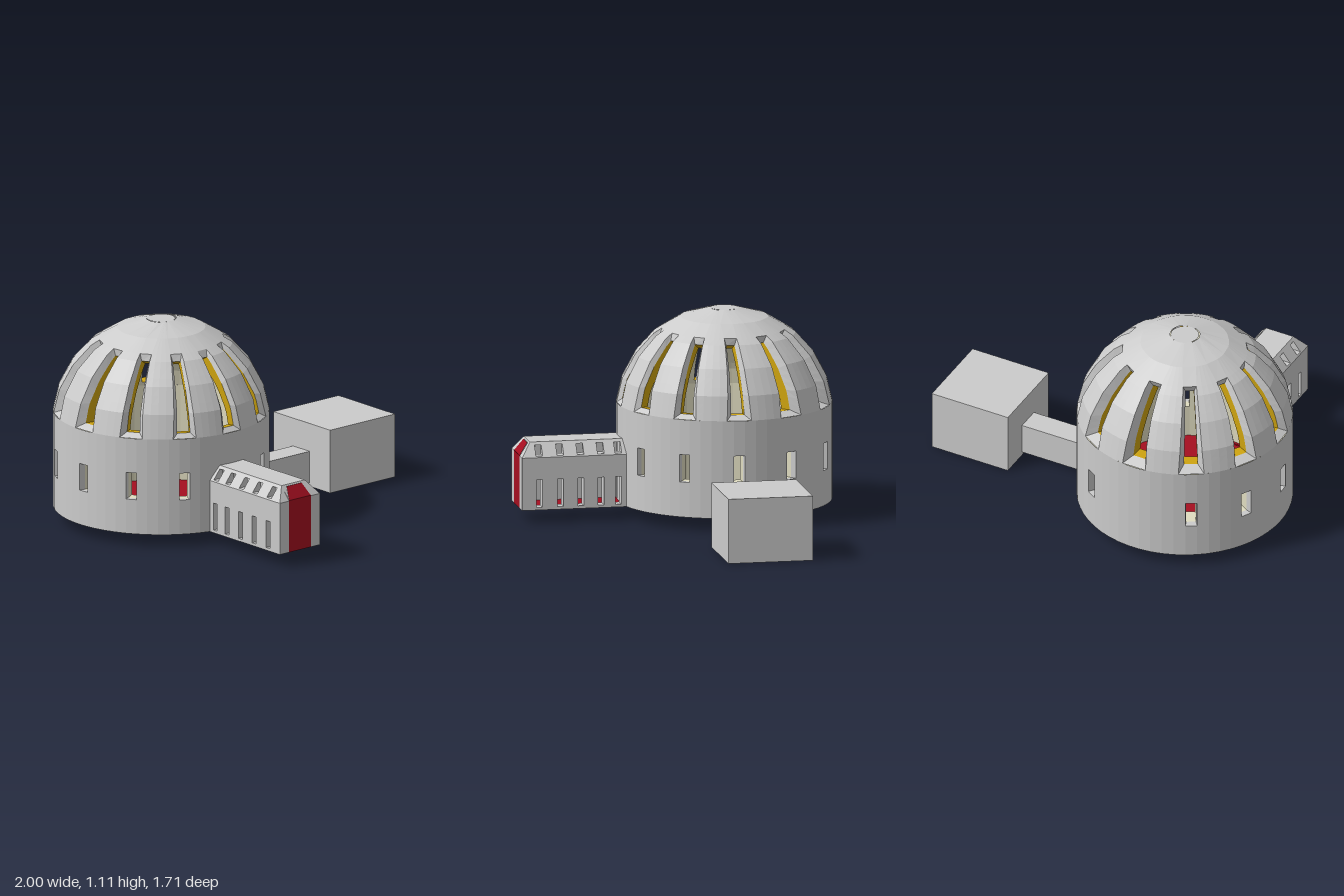
import * as THREE from 'three';

const CX = -0.425, CZ = -0.24, STEP = Math.PI / 6;
const lerp = THREE.MathUtils.lerp;
const mat = (color) => new THREE.MeshStandardMaterial({ color, flatShading: true, side: THREE.DoubleSide });

// Collects quads given by point grids into one mesh
class Patches {
  constructor() { this.p = []; }
  quad(a, b, c, d) { for (const v of [a, b, c, a, c, d]) this.p.push(...v); }
  grid(f, ns, nt) {
    for (let i = 0; i < ns; i++) for (let j = 0; j < nt; j++) {
      const [s0, s1, t0, t1] = [i / ns, (i + 1) / ns, j / nt, (j + 1) / nt];
      this.quad(f(s0, t0), f(s1, t0), f(s1, t1), f(s0, t1));
    }
  }
  bridge(A, B) {
    A.forEach((a, i) => { const k = (i + 1) % A.length; this.quad(a, A[k], B[k], B[i]); });
  }
  mesh(name, material) {
    const g = new THREE.BufferGeometry();
    g.setAttribute('position', new THREE.Float32BufferAttribute(this.p, 3));
    g.computeVertexNormals();
    const m = new THREE.Mesh(g, material);
    m.name = name;
    return m;
  }
}

// Point of a shell layer: profile position v, angle from +z; "off" pushes the layer backwards
function point(L, v, ang) {
  const i = Math.min(Math.floor(v), L.prof.length - 2), f = v - i;
  const r = lerp(L.prof[i][0], L.prof[i + 1][0], f) - L.off * Math.cos(ang);
  return [CX + r * Math.sin(ang), lerp(L.prof[i][1], L.prof[i + 1][1], f), CZ + r * Math.cos(ang)];
}

// Half angle of a layer's opening at profile position v
function half(L, v) {
  const t = THREE.MathUtils.clamp((v - L.v0) / (L.v1 - L.v0), 0, 1);
  const i = Math.min(Math.floor(v), L.prof.length - 2);
  const r = lerp(L.prof[i][0], L.prof[i + 1][0], v - i);
  return Math.min(Math.asin(Math.min(1, lerp(L.w0, L.w1, t) / r)), 0.2);
}

// One 30 degree slice of a layer, with or without its opening
function slice(out, L, k, open, inward) {
  const a0 = k * STEP, end = L.prof.length - 1;
  const put = (va, vb, n, ua, ub, cols) => out.grid((s, t) => {
    const v = lerp(va, vb, t), q = inward ? 1 - s : s;
    return point(L, v, a0 + lerp(ua(v), ub(v), q));
  }, cols, n);
  const left = () => -STEP / 2, right = () => STEP / 2;
  const inL = (v) => -half(L, v), inR = (v) => half(L, v);
  const bands = [[0, L.v0, 1], [L.v0, L.v1, 10], [L.v1, Math.ceil(L.v1), 1]];
  for (let v = Math.ceil(L.v1); v < end; v++) bands.push([v, v + 1, 1]);
  bands.forEach(([va, vb, n], b) => {
    if (vb - va < 1e-6) return;
    put(va, vb, n, left, inL, 2);
    put(va, vb, n, inR, right, 2);
    if (b !== 1 || !open) put(va, vb, n, inL, inR, 1);
  });
}

// Edge of an opening, counter-clockwise seen from outside
function loop(L, k) {
  const pts = [], N = 10;
  for (const side of [1, -1]) for (let i = 0; i <= N; i++) {
    const v = lerp(L.v0, L.v1, side > 0 ? i / N : 1 - i / N);
    pts.push(point(L, v, k * STEP + side * half(L, v)));
  }
  return pts;
}

// Thick round shell with one opening per slice
function shell(name, outer, mid, inner, isOpen, M, jambMat) {
  const g = new THREE.Group();
  g.name = name;
  const skin = new Patches(), lining = new Patches(), jambs = new Patches();
  for (let k = 0; k < 12; k++) {
    const open = isOpen(k);
    slice(skin, outer, k, open, false);
    slice(lining, inner, k, open, true);
    if (!open) continue;
    skin.bridge(loop(outer, k), loop(mid, k));
    jambs.bridge(loop(mid, k), loop(inner, k));
  }
  g.add(skin.mesh(name + 'Skin', M.grey), lining.mesh(name + 'Lining', M.cream), jambs.mesh(name + 'Jambs', jambMat));
  return g;
}

export function createModel() {
  const root = new THREE.Group();
  root.name = 'domedBuilding';
  const M = { grey: mat(0xcccccc), red: mat(0xa50f20), gold: mat(0xd0a510), cream: mat(0xe0dcc0) };
  const add = (name, geo, material, parent = root) => {
    const m = new THREE.Mesh(geo, material);
    m.name = name;
    parent.add(m);
    return m;
  };
  const box = (name, x0, x1, y0, y1, z0, z1, material, parent) =>
    add(name, new THREE.BoxGeometry(x1 - x0, y1 - y0, z1 - z0), material, parent)
      .position.set((x0 + x1) / 2, (y0 + y1) / 2, (z0 + z1) / 2);
  const poly = (pts) => new THREE.Shape(pts.map(([x, y]) => new THREE.Vector2(x, y)));

  // Round wall with small windows, none at the front and back
  const wall = (r, off, w) => ({ prof: [[r, 0.07], [r, 0.6]], off, v0: 0.36, v1: 0.64, w0: w, w1: w });
  const wallOuter = wall(0.577, 0.033, 0.03), wallInner = wall(0.475, 0, 0.025);
  root.add(shell('wall', wallOuter, wall(0.545, 0.025, 0.025), wallInner, (k) => k % 6 !== 0, M, M.cream));

  // Ribbed dome with twelve tall tapering slits
  const domeOuter = {
    prof: [[0.577, 0.6], [0.547, 0.73], [0.475, 0.865], [0.375, 0.975], [0.235, 1.06], [0.075, 1.105]],
    off: 0.033, v0: 0, v1: 3.3, w0: 0.066, w1: 0.033,
  };
  const domeMid = {
    prof: [[0.535, 0.6], [0.51, 0.72], [0.44, 0.845], [0.345, 0.955], [0.21, 1.03], [0.07, 1.07]],
    off: 0.015, v0: 0.2, v1: 3.1, w0: 0.036, w1: 0.022,
  };
  const domeInner = {
    prof: [[0.475, 0.6], [0.455, 0.7], [0.39, 0.81], [0.305, 0.9], [0.18, 0.99], [0.06, 1.03]],
    off: 0, v0: 0.2, v1: 3.35, w0: 0.036, w1: 0.022,
  };
  root.add(shell('dome', domeOuter, domeMid, domeInner, () => true, M, M.gold));
  const cap = add('domeCap', new THREE.CircleGeometry(0.076, 24), M.grey);
  cap.rotation.x = -Math.PI / 2;
  cap.position.set(CX, 1.105, CZ - 0.033);

  // Wall underside and floor
  const foot = new Patches();
  foot.grid((s, t) => {
    const a = s * Math.PI * 2, A = point(wallInner, 0, a), B = point(wallOuter, 0, a);
    return A.map((v, i) => lerp(v, B[i], t));
  }, 48, 1);
  root.add(foot.mesh('wallFoot', M.grey));
  const floor = add('floor', new THREE.CircleGeometry(0.477, 48), M.red);
  floor.rotation.x = -Math.PI / 2;
  floor.position.set(CX, 0.072, CZ);

  // Entrance tunnel: pierced walls and pierced sloping eaves, mirrored
  const tunnel = new THREE.Group();
  tunnel.name = 'entranceTunnel';
  tunnel.position.x = CX;
  root.add(tunnel);
  const slots = [0.33, 0.425, 0.535, 0.645, 0.76];
  const pierced = (outline, y0, y1, w) => {
    const s = poly(outline);
    for (const z of slots) s.holes.push(new THREE.Path(
      [[z - w, y0], [z - w, y1], [z + w, y1], [z + w, y0]].map((p) => new THREE.Vector2(...p))));
    // shape x becomes z, extrusion becomes x
    return new THREE.ExtrudeGeometry(s, { depth: 0.066, bevelEnabled: false }).rotateY(-Math.PI / 2);
  };
  for (const side of [-1, 1]) {
    const wallGeo = pierced([[0.27, 0.07], [0.855, 0.07], [0.855, 0.355], [0.27, 0.355]], 0.085, 0.235, 0.016);
    const eaveGeo = pierced([[0.27, 0.355], [0.855, 0.355], [0.8, 0.43], [0.27, 0.43]], 0.362, 0.415, 0.018);
    // Lean the outer face of the eave inwards
    const p = eaveGeo.attributes.position;
    for (let i = 0; i < p.count; i++)
      if (p.getX(i) < -0.03) p.setX(i, p.getX(i) + (p.getY(i) - 0.355) / 0.075 * 0.06);
    eaveGeo.computeVertexNormals();
    for (const [name, geo] of [['tunnelWall', wallGeo], ['tunnelEave', eaveGeo]]) {
      // extrusion runs from x = 0 to -0.066; the outer face is at 0.142 from the axis
      geo.translate(-0.076, 0, 0);
      if (side > 0) {
        geo.scale(-1, 1, 1);
        const q = geo.attributes.position;
        for (let i = 0; i < q.count; i += 3) {
          const b = new THREE.Vector3().fromBufferAttribute(q, i + 1), c = new THREE.Vector3().fromBufferAttribute(q, i + 2);
          q.setXYZ(i + 1, c.x, c.y, c.z);
          q.setXYZ(i + 2, b.x, b.y, b.z);
        }
        geo.computeVertexNormals();
      }
      add(name, geo, M.grey, tunnel);
    }
  }
  box('tunnelRoof', -0.082, 0.082, 0.418, 0.43, 0.27, 0.8, M.grey, tunnel);
  box('tunnelFloor', -0.078, 0.078, 0.071, 0.08, 0.22, 0.85, M.red, tunnel);

  // Door with a top that leans back
  box('door', -0.077, 0.077, 0.07, 0.358, 0.835, 0.856, M.red, tunnel);
  const top = new Patches();
  top.quad([-0.077, 0.357, 0.856], [0.077, 0.357, 0.856], [0.052, 0.422, 0.808], [-0.052, 0.422, 0.808]);
  tunnel.add(top.mesh('doorTop', M.red));
  const surround = new Patches();
  for (const s of [-1, 1]) {
    const q = [[s * 0.077, 0.355, 0.855], [s * 0.082, 0.43, 0.8], [s * 0.052, 0.422, 0.806], [s * 0.077, 0.357, 0.855]];
    surround.quad(...(s > 0 ? q : q.reverse()));
  }
  surround.quad([-0.052, 0.422, 0.806], [0.052, 0.422, 0.806], [0.082, 0.43, 0.8], [-0.082, 0.43, 0.8]);
  tunnel.add(surround.mesh('doorSurround', M.grey));

  // Side passage and square annexe
  box('passage', 0.11, 0.55, 0.02, 0.195, -0.31, -0.175, M.grey);
  box('annexe', 0.54, 1, 0, 0.35, -0.47, -0.01, M.grey);

  // Five-sided slab beneath the back of the floor
  const slab = new THREE.ExtrudeGeometry(
    poly([[-0.2, 0.62], [-0.22, 0.74], [-0.65, 0.74], [-0.65, 0.5], [-0.35, 0.5]]),
    { depth: 0.035, bevelEnabled: false }).rotateX(-Math.PI / 2).translate(0, 0.036, 0);
  add('underSlab', slab, M.grey);
  return root;
}
